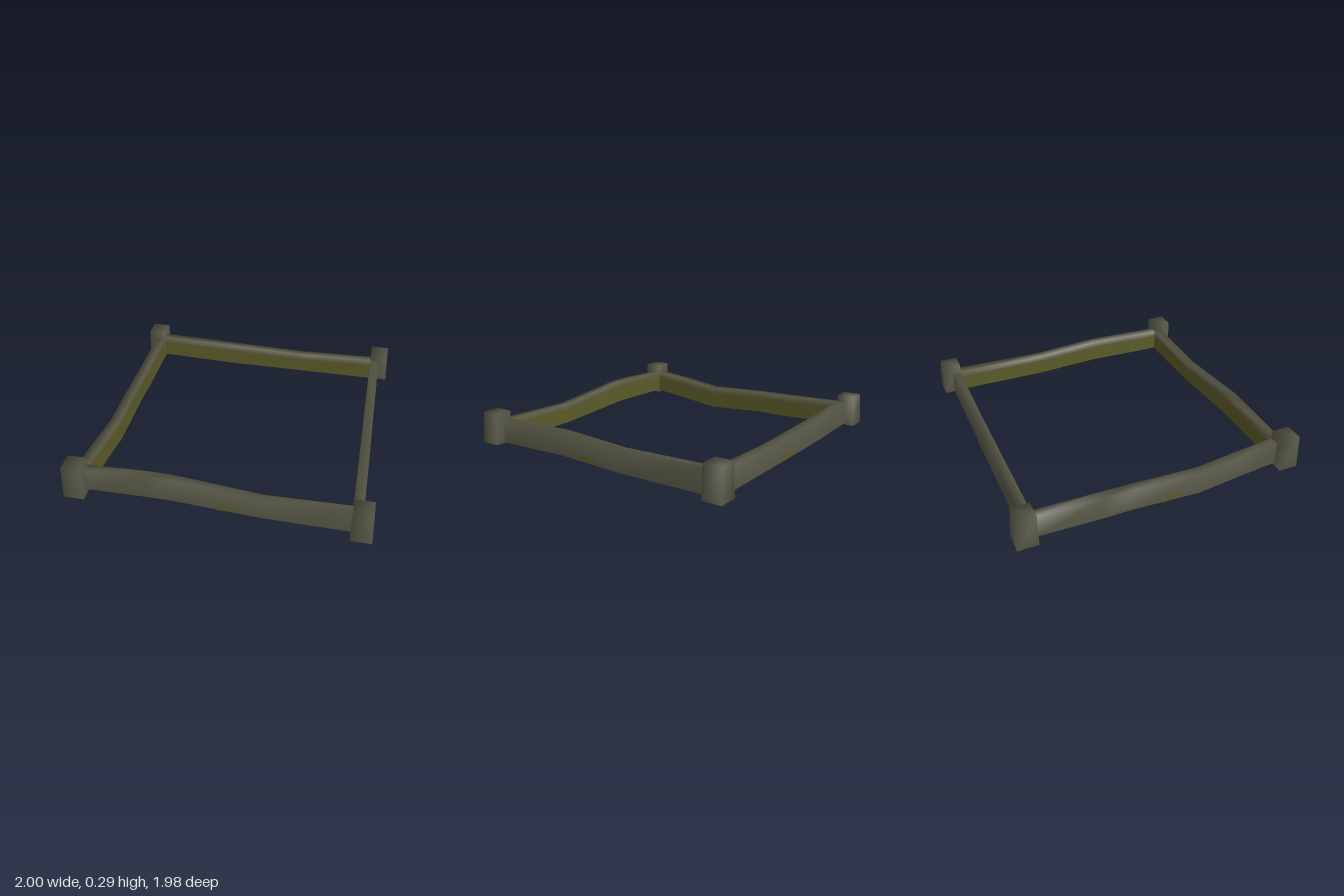
import * as THREE from 'three';

const stone = new THREE.MeshStandardMaterial({ name: 'stone', color: 0x565646, side: THREE.DoubleSide });
const mossyStone = new THREE.MeshStandardMaterial({ name: 'mossyStone', color: 0x58563a, side: THREE.DoubleSide });
const moss = new THREE.MeshStandardMaterial({ name: 'moss', color: 0x5c5a28, side: THREE.DoubleSide });

function mesh(name, positions, groups) {
  const geo = new THREE.BufferGeometry();
  geo.setAttribute('position', new THREE.Float32BufferAttribute(positions, 3));
  const index = [];
  for (const { faces, material } of groups) {
    geo.addGroup(index.length, faces.length, material);
    index.push(...faces);
  }
  geo.setIndex(index);
  geo.computeVertexNormals();
  const m = new THREE.Mesh(geo, [stone, mossyStone, moss]);
  m.name = name;
  return m;
}

// Hollow wall, open below. Stations are [distance along, bottom, top].
function makeWall(name, axis, outer, inner, stations) {
  const positions = [];
  const strips = [[], [], [], []];
  stations.forEach(([t, bottom, top], i) => {
    const section = [[outer, bottom], [outer, top], [inner, top],
      [inner, top - (top - bottom) * 0.3], [inner, bottom]];
    section.forEach(([d, y]) => positions.push(...(axis === 'x' ? [t, y, d] : [d, y, t])));
    if (i === stations.length - 1) return;
    strips.forEach((strip, j) => {
      const a = i * 5 + j, b = a + 5;
      strip.push(a, b, b + 1, a, b + 1, a + 1);
    });
  });
  return mesh(name, positions, [
    { faces: [...strips[0], ...strips[1]], material: 0 },
    { faces: strips[2], material: 1 },
    { faces: strips[3], material: 2 },
  ]);
}

// Corner post, open below, with the outer sides leaning in slightly.
function makePost(name, sx, sz, bottom, top) {
  const positions = [];
  for (const [y, lean] of [[bottom, 0], [top, 0.01]]) {
    const xs = [sx * 0.862, sx * (1 - lean)].sort((a, b) => a - b);
    const zs = [sz * 0.853, sz * (0.99 - lean)].sort((a, b) => a - b);
    positions.push(xs[0], y, zs[1], xs[1], y, zs[1], xs[1], y, zs[0], xs[0], y, zs[0]);
  }
  const faces = [4, 5, 6, 4, 6, 7];
  for (let k = 0; k < 4; k++) {
    const n = (k + 1) % 4;
    faces.push(k, n, n + 4, k, n + 4, k + 4);
  }
  return mesh(name, positions, [{ faces, material: 0 }]);
}

// Thin half-round moss growth at the foot of a wall.
function makePatch(name, x, y, z, turn) {
  const patch = new THREE.Mesh(new THREE.CircleGeometry(0.08, 10, 0, Math.PI), moss);
  patch.scale.y = 0.6;
  patch.position.set(x, y, z);
  patch.rotation.y = turn;
  patch.name = name;
  return patch;
}

export function createModel() {
  const model = new THREE.Group();
  model.name = 'squareWallFrame';

  // Wavy walls
  model.add(
    makeWall('frontWall', 'x', 0.912, 0.85, [[-0.88, 0.075, 0.235], [-0.45, 0.083, 0.252],
      [-0.3, 0.083, 0.252], [0.3, 0.045, 0.19], [0.88, 0.042, 0.205]]),
    makeWall('backWall', 'x', -0.92, -0.857, [[0.88, 0.042, 0.205], [0.3, 0.042, 0.19],
      [-0.3, 0.042, 0.205], [-0.88, 0.06, 0.22]]),
    makeWall('rightWall', 'z', -0.93, -0.865, [[-0.88, 0.05, 0.21], [-0.4, 0.033, 0.197],
      [-0.2, 0.033, 0.193], [0.28, 0.004, 0.17], [0.6, 0.045, 0.21], [0.88, 0.075, 0.24]]),
    makeWall('leftWall', 'z', 0.928, 0.862, [[0.88, 0.045, 0.2], [0.6, 0.05, 0.21],
      [0.28, 0.06, 0.22], [-0.2, 0.042, 0.193], [-0.88, 0.05, 0.21]]),
  );

  // Corner posts
  model.add(
    makePost('frontRightPost', -1, 1, 0.055, 0.295),
    makePost('frontLeftPost', 1, 1, 0.042, 0.262),
    makePost('backRightPost', -1, -1, 0.05, 0.27),
    makePost('backLeftPost', 1, -1, 0.045, 0.267),
  );

  // Moss at the foot of the outer walls
  model.add(
    makePatch('frontMoss', 0.08, 0.062, 0.915, 0),
    makePatch('leftMoss', 0.931, 0.055, 0.08, Math.PI / 2),
    makePatch('rightMoss', -0.933, 0.02, 0.08, -Math.PI / 2),
    makePatch('backMoss', 0.08, 0.044, -0.923, Math.PI),
  );
  return model;
}
